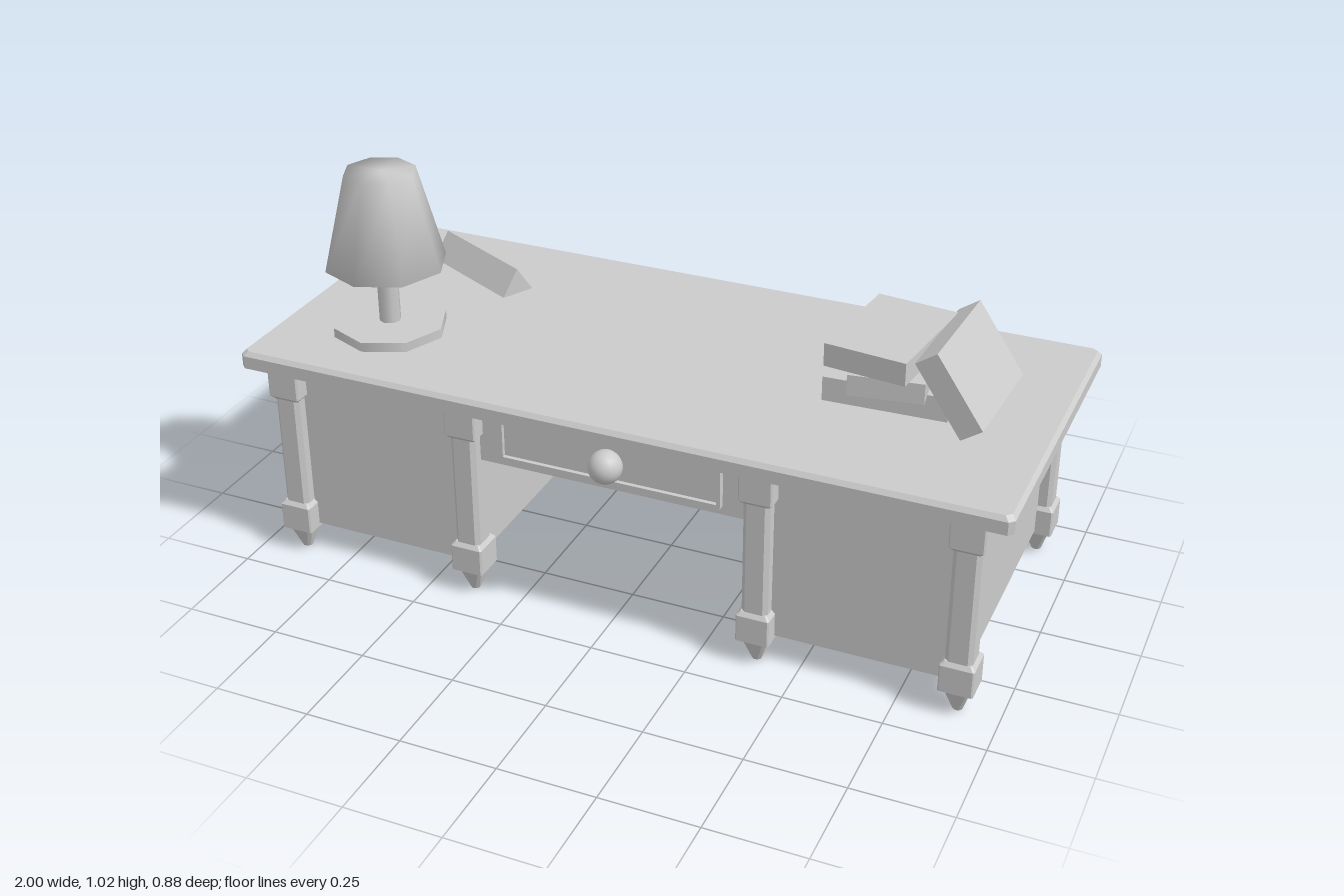
import * as THREE from 'three';
import { mergeVertices } from 'three/addons/utils/BufferGeometryUtils.js';

const flat = new THREE.MeshStandardMaterial({ color: 0xcccccc, flatShading: true });
const smooth = new THREE.MeshStandardMaterial({ color: 0xcccccc });
const thin = new THREE.MeshStandardMaterial({ color: 0xcccccc, flatShading: true, side: THREE.DoubleSide });

const TOP = 0.585; // height of the writing surface

function add(parent, name, geometry, x = 0, y = 0, z = 0, material = flat) {
  const mesh = new THREE.Mesh(geometry, material);
  mesh.name = name;
  mesh.position.set(x, y, z);
  parent.add(mesh);
  return mesh;
}

const box = (w, h, d) => new THREE.BoxGeometry(w, h, d);

// Upright block with chamfered vertical edges; its upper end is wider by grow on every side
function block(hx, hz, chamfer, y0, y1, grow = 0) {
  const cx = hx - chamfer, cz = hz - chamfer;
  const pts = [[hx, -cz], [hx, cz], [cx, hz], [-cx, hz], [-hx, cz], [-hx, -cz], [-cx, -hz], [cx, -hz]];
  const shape = new THREE.Shape(pts.map(([x, y]) => new THREE.Vector2(x, y)));
  const g = new THREE.ExtrudeGeometry(shape, { depth: y1 - y0, bevelEnabled: false });
  g.rotateX(-Math.PI / 2);
  const p = g.attributes.position;
  for (let i = 0; i < p.count; i++) {
    if (p.getY(i) > (y1 - y0) / 2) {
      p.setX(i, p.getX(i) + Math.sign(p.getX(i)) * grow);
      p.setZ(i, p.getZ(i) + Math.sign(p.getZ(i)) * grow);
    }
  }
  g.translate(0, y0, 0);
  g.computeVertexNormals();
  return g;
}

const post = (half, chamfer, y0, y1, grow) => block(half, half, chamfer, y0, y1, grow);

function makeLeg() {
  const leg = new THREE.Group();
  leg.name = 'leg';
  add(leg, 'foot', post(0.012, 0.007, 0, 0.066, 0.021));
  add(leg, 'lowerBlock', post(0.043, 0.004, 0.066, 0.138));
  add(leg, 'lowerBlockTaper', post(0.043, 0.004, 0.138, 0.148, -0.009));
  add(leg, 'shaft', post(0.034, 0.011, 0.14, 0.47));
  add(leg, 'upperBlockTaper', post(0.034, 0.004, 0.452, 0.462, 0.009));
  add(leg, 'upperBlock', post(0.043, 0.004, 0.462, 0.545));
  return leg;
}

// Open-bottomed pedestal of four thin panels
function makePedestal() {
  const pedestal = new THREE.Group();
  pedestal.name = 'pedestal';
  const w = 0.505, h = 0.465, d = 0.75;
  for (const s of [-1, 1]) {
    add(pedestal, 'endPanel', new THREE.PlaneGeometry(w, h), 0, 0, s * d / 2, thin);
    add(pedestal, 'sidePanel', new THREE.PlaneGeometry(d, h), s * w / 2, 0, 0, thin).rotation.y = Math.PI / 2;
  }
  return pedestal;
}

function makeDrawer() {
  const drawer = new THREE.Group();
  drawer.name = 'drawer';
  drawer.position.set(0, 0.467, 0.375);
  // Drawer body reaching a little behind the apron
  add(drawer, 'drawerBody', box(0.575, 0.11, 0.05), 0, 0, -0.018);
  // Raised border
  const w = 0.292, h = 0.058, rim = 0.01;
  const frame = new THREE.Shape([
    new THREE.Vector2(-w, -h), new THREE.Vector2(w, -h),
    new THREE.Vector2(w, h), new THREE.Vector2(-w, h),
  ]);
  frame.holes.push(new THREE.Path([
    new THREE.Vector2(-w + rim, -h + rim), new THREE.Vector2(-w + rim, h - rim),
    new THREE.Vector2(w - rim, h - rim), new THREE.Vector2(w - rim, -h + rim),
  ]));
  add(drawer, 'drawerFrame', new THREE.ExtrudeGeometry(frame, { depth: 0.018, bevelEnabled: false }));
  add(drawer, 'knob', new THREE.SphereGeometry(0.043, 16, 12), 0, -0.004, 0.028, smooth);
  return drawer;
}

function makeLamp() {
  const lamp = new THREE.Group();
  lamp.name = 'lamp';
  lamp.position.set(-0.715, TOP, 0.167);
  add(lamp, 'lampBase', new THREE.CylinderGeometry(0.148, 0.148, 0.025, 8), 0, 0.0125, 0, smooth);
  add(lamp, 'lampStem', new THREE.CylinderGeometry(0.028, 0.028, 0.2, 8), 0, 0.11, 0, smooth);
  // Normals shared between sides and caps for a soft shade
  let shade = new THREE.CylinderGeometry(0.092, 0.157, 0.251, 8);
  shade.deleteAttribute('normal');
  shade.deleteAttribute('uv');
  shade = mergeVertices(shade);
  shade.computeVertexNormals();
  add(lamp, 'lampShade', shade, 0, 0.31, 0, smooth);
  return lamp;
}

function makeBooks() {
  const books = new THREE.Group();
  books.name = 'books';
  // width, height, depth, x, y, z, turn
  const stack = [
    [0.31, 0.064, 0.205, 0.585, 0.617, -0.015, 0.04],
    [0.185, 0.054, 0.295, 0.587, 0.676, 0, 0.14],
    [0.21, 0.06, 0.307, 0.573, 0.734, -0.001, -0.12],
  ];
  for (const [w, h, d, x, y, z, turn] of stack) {
    add(books, 'stackedBook', box(w, h, d), x, y, z).rotation.y = turn;
  }
  const leaning = add(books, 'leaningBook', box(0.064, 0.213, 0.313), 0.768, 0.69, -0.007);
  leaning.rotation.set(0, -0.045, 0.607, 'YXZ');
  return books;
}

// Three-sided desk name plate
function makePlate() {
  const shape = new THREE.Shape([
    new THREE.Vector2(-0.047, 0), new THREE.Vector2(0.047, 0), new THREE.Vector2(0, 0.07),
  ]);
  const g = new THREE.ExtrudeGeometry(shape, { depth: 0.325, bevelEnabled: false });
  g.translate(0, 0, -0.1625);
  g.rotateY(Math.PI / 2);
  return g;
}

export function createModel() {
  const model = new THREE.Group();
  model.name = 'desk';
  const body = new THREE.Group();
  body.name = 'deskBody';
  body.position.z = -0.003;
  model.add(body);

  // Slab with a bevelled upper edge
  add(body, 'deskTop', block(1, 0.439, 0.013, 0.54, 0.574));
  add(body, 'deskTopBevel', block(1, 0.439, 0.013, 0.574, TOP, -0.01));

  // Two pedestals, each with four legs at its corners
  for (const side of [-1, 1]) {
    const pedestal = makePedestal();
    pedestal.position.set(side * 0.641, 0.3075, 0);
    body.add(pedestal);
    for (const x of [0.388, 0.894]) {
      for (const z of [-0.375, 0.375]) {
        const leg = makeLeg();
        leg.position.set(side * x, 0, z);
        body.add(leg);
      }
    }
  }

  // Aprons across the knee space
  for (const z of [-0.365, 0.365]) {
    add(body, 'apron', box(0.776, 0.157, 0.02), 0, 0.4635, z);
  }
  body.add(makeDrawer());

  model.add(makeLamp(), makeBooks());
  add(model, 'namePlate', makePlate(), -0.652, TOP, -0.217).rotation.y = -0.47;
  return model;
}
